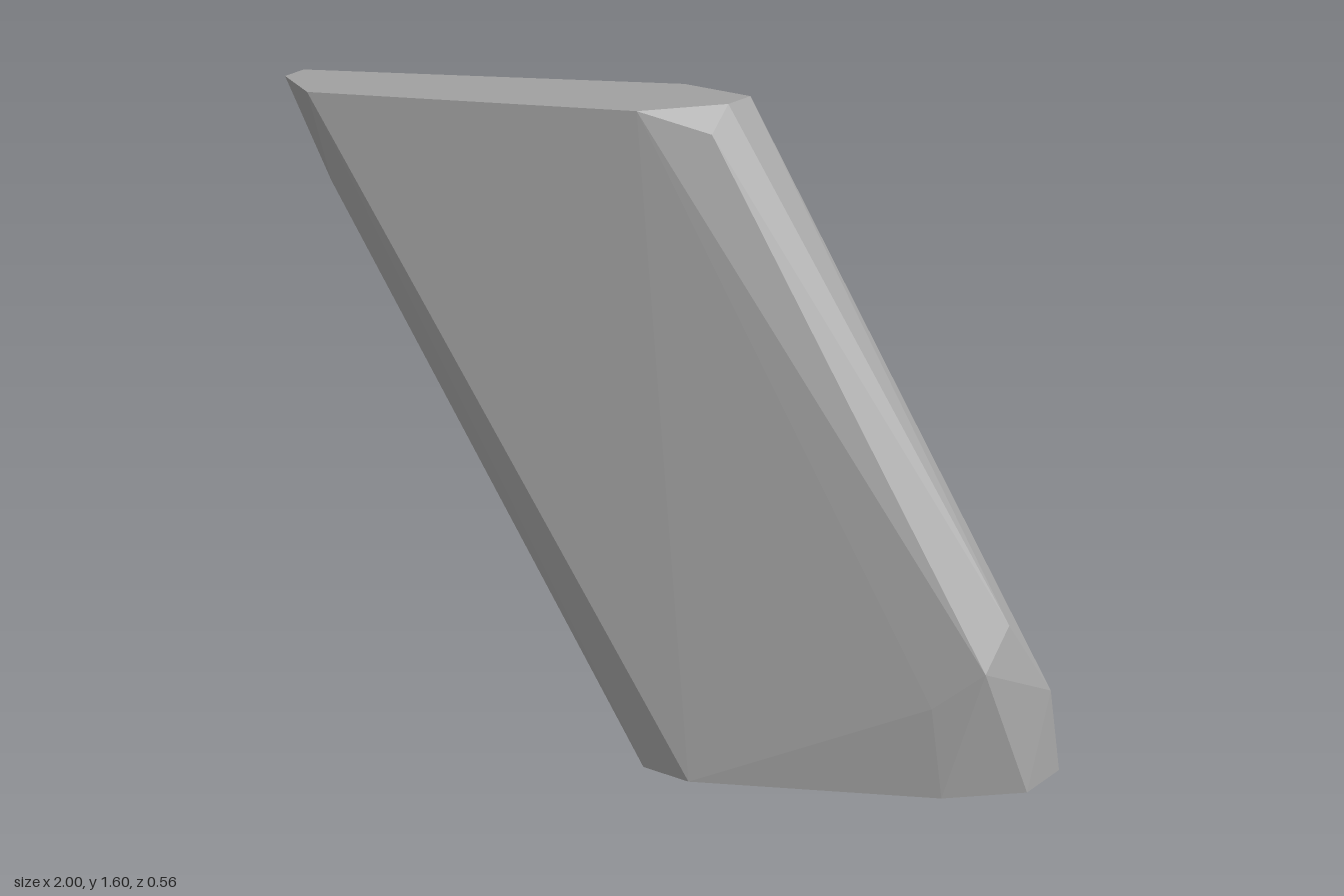
import * as THREE from 'three';
import { ConvexGeometry } from 'three/addons/geometries/ConvexGeometry.js';

const H = 1.595;

export function createModel() {
  const stone = new THREE.MeshStandardMaterial({ color: 0xa0a0a0 });
  stone.name = 'grey stone';

  // outlines of the flat ends, as x, z
  const top = [[-0.13, -0.285], [0.06, -0.285], [0.05, -0.2], [-0.1, -0.03],
    [-0.86, 0.28], [-1, 0.205], [-1, 0.135]];
  const bottom = [[0.85, -0.285], [1, -0.285], [0.975, -0.15], [0.81, -0.01],
    [0.25, 0.272], [0.12, 0.28], [0.1, 0.16]];

  // chipped corners between the ends, as x, y, z
  const chips = [
    [0.76, 0.23, -0.03], [0.86, 0.32, -0.11], [0.86, 0.4, -0.23], [0.96, 0.22, -0.285],
    [0.055, 1.54, -0.12], [-0.8, 1.38, 0.28], [-0.12, 0.3, 0.13],
  ];

  const points = [
    ...top.map(([x, z]) => new THREE.Vector3(x, H, z)),
    ...bottom.map(([x, z]) => new THREE.Vector3(x, 0, z)),
    ...chips.map((p) => new THREE.Vector3(...p)),
  ];

  // the slanted, faceted slab is the hull of its corners
  const slab = new THREE.Mesh(new ConvexGeometry(points), stone);
  slab.name = 'slantedRock';

  const model = new THREE.Group();
  model.name = 'rock';
  model.add(slab);
  return model;
}
